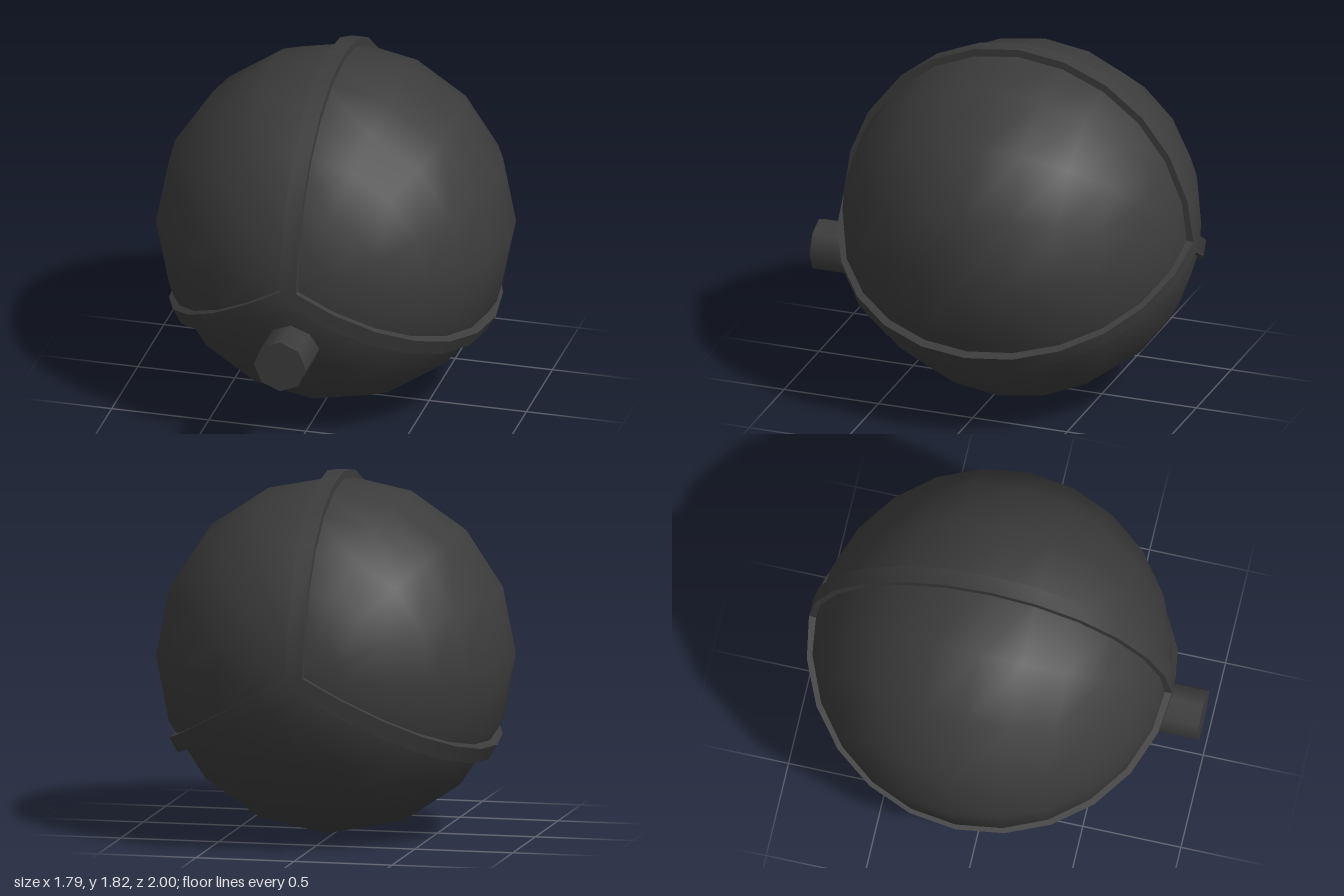
import * as THREE from 'three';
import { mergeGeometries, toCreasedNormals } from 'three/addons/utils/BufferGeometryUtils.js';

const CENTER = new THREE.Vector3(0, 0.895, -0.075);
const STEPS = 12;

// Half-ring strip from front pole to back pole, mitred at both ends so three meet cleanly
function stripGeometry(halfWidth, inner, outer) {
  const section = [
    [-halfWidth, outer], [0, outer], [halfWidth, outer],
    [halfWidth, inner], [0, inner], [-halfWidth, inner],
  ];
  const n = section.length;
  const positions = [];
  const indices = [];
  for (let i = 0; i <= STEPS; i++) {
    const angle = (i / STEPS) * Math.PI;
    const atPole = i === 0 || i === STEPS;
    for (const [x, r] of section) {
      const y = atPole ? Math.abs(x) * Math.tan(Math.PI / 6) : r * Math.sin(angle);
      positions.push(x, y, r * Math.cos(angle));
    }
  }
  for (let i = 0; i < STEPS; i++) {
    for (let j = 0; j < n; j++) {
      const a = i * n + j;
      const b = i * n + (j + 1) % n;
      indices.push(a, b, b + n, a, b + n, a + n);
    }
  }
  const geometry = new THREE.BufferGeometry();
  geometry.setAttribute('position', new THREE.Float32BufferAttribute(positions, 3));
  geometry.setIndex(indices);
  return geometry;
}

export function createModel() {
  const model = new THREE.Group();
  model.name = 'bandedSphere';

  const darkGrey = new THREE.MeshStandardMaterial({ color: 0x3c3c3c });
  darkGrey.name = 'dark grey';

  const add = (name, geometry) => {
    const mesh = new THREE.Mesh(geometry, darkGrey);
    mesh.name = name;
    mesh.position.copy(CENTER);
    model.add(mesh);
    return mesh;
  };

  // Ball with its poles at front and back
  add('ball', new THREE.SphereGeometry(0.895, 16, 12).rotateX(Math.PI / 2));

  // Three raised bands, 120 degrees apart
  const strips = [0, 1, 2].map((k) =>
    stripGeometry(0.043, 0.83, 0.925).rotateZ((k * Math.PI * 2) / 3));
  add('raisedBands', toCreasedNormals(mergeGeometries(strips), 0.7));

  // Octagonal stub on the lower front
  const stub = add('frontStub', new THREE.CylinderGeometry(0.134, 0.134, 0.5, 8).rotateX(Math.PI / 2));
  stub.position.set(0, 0.585, 0.75);

  return model;
}
